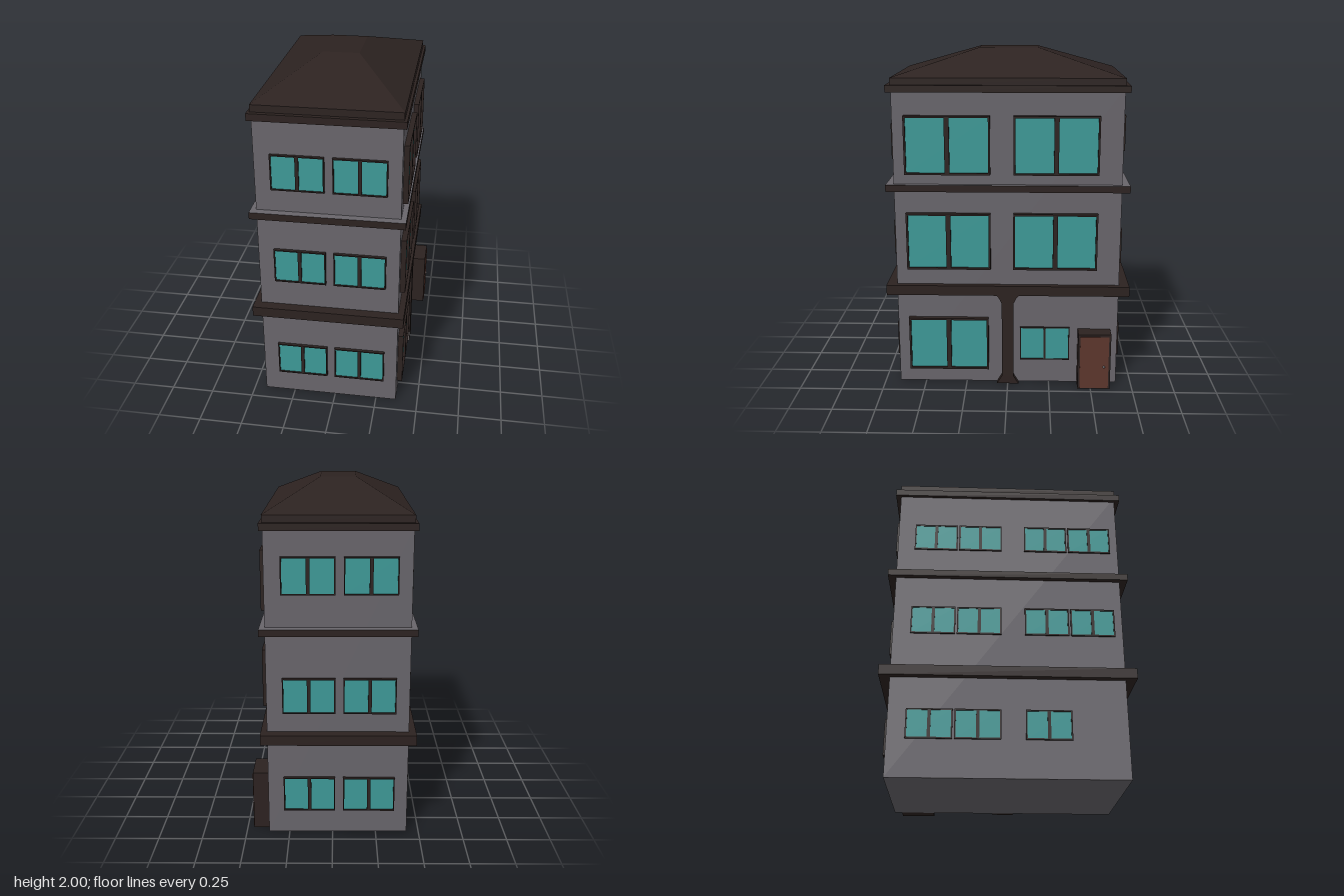
import * as THREE from 'three';

const mat = (name, color) => new THREE.MeshStandardMaterial({ name, color });

export function createModel() {
  const wall = mat('wallGrey', 0x68656b);
  const trim = mat('darkTrim', 0x2c2220);
  const glass = mat('tealGlass', 0x3d9997);
  const wood = mat('doorBrown', 0x5c362c);
  const metal = mat('knobGrey', 0x77767a);

  const model = new THREE.Group();
  model.name = 'building';

  const add = (parent, name, geometry, material) => {
    const mesh = new THREE.Mesh(geometry, material);
    mesh.name = name;
    parent.add(mesh);
    return mesh;
  };
  // Box given by its limits on each axis
  const block = (parent, name, x0, x1, y0, y1, z0, z1, material) => {
    const g = new THREE.BoxGeometry(x1 - x0, y1 - y0, z1 - z0);
    g.translate((x0 + x1) / 2, (y0 + y1) / 2, (z0 + z1) / 2);
    return add(parent, name, g, material);
  };
  const rect = (Type, x0, y0, x1, y1) => {
    const p = new Type();
    p.moveTo(x0, y0);
    p.lineTo(x1, y0);
    p.lineTo(x1, y1);
    p.lineTo(x0, y1);
    p.closePath();
    return p;
  };

  // Walls, floor bands, cornice
  block(model, 'walls', -0.43, 0.37, 0, 1.8, -0.66, 0.66, wall);
  block(model, 'lowerBand', -0.47, 0.405, 0.57, 0.63, -0.72, 0.72, trim);
  block(model, 'middleBand', -0.462, 0.4, 1.2, 1.24, -0.705, 0.705,
    [trim, trim, wall, trim, trim, trim]);
  block(model, 'cornice', -0.45, 0.388, 1.77, 1.81, -0.69, 0.69, trim);
  block(model, 'eaves', -0.435, 0.373, 1.81, 1.85, -0.663, 0.663, trim);

  // Hipped roof with a flat top: the top corners of a box pulled inwards
  const roof = new THREE.BoxGeometry(0.808, 0.15, 1.326).toNonIndexed();
  const pos = roof.attributes.position;
  for (let i = 0; i < pos.count; i++) {
    if (pos.getY(i) > 0) {
      pos.setX(i, Math.sign(pos.getX(i)) * 0.103);
      pos.setZ(i, Math.sign(pos.getZ(i)) * 0.173);
    }
  }
  roof.computeVertexNormals();
  roof.translate(-0.03, 1.925, 0);
  add(model, 'roof', roof, trim);

  // Each facade is a group whose local +z points out of the wall
  const facade = (name, x, z, turn) => {
    const g = new THREE.Group();
    g.name = name;
    g.position.set(x, 0, z);
    g.rotation.y = turn;
    model.add(g);
    return g;
  };

  // Two-pane window: frame with two openings and recessed glass
  const addWindow = (parent, x0, x1, y0, y1, depth, edge, mullion) => {
    const w = new THREE.Group();
    w.name = 'window';
    parent.add(w);
    const mid = (x0 + x1) / 2;
    const frame = rect(THREE.Shape, x0, y0, x1, y1);
    frame.holes.push(
      rect(THREE.Path, x0 + edge, y0 + edge, mid - mullion / 2, y1 - edge),
      rect(THREE.Path, mid + mullion / 2, y0 + edge, x1 - edge, y1 - edge));
    add(w, 'windowFrame',
      new THREE.ExtrudeGeometry(frame, { depth, bevelEnabled: false }), trim);
    const pane = new THREE.PlaneGeometry(x1 - x0 - edge, y1 - y0 - edge);
    pane.translate(mid, (y0 + y1) / 2, depth * 0.55);
    add(w, 'windowGlass', pane, glass);
  };

  // Narrow front and back facades: two windows per floor
  const front = facade('frontFacade', 0, 0.66, 0);
  const back = facade('backFacade', -0.06, -0.66, Math.PI);
  for (const [left, right] of [[-0.34, -0.045], [0, 0.295]]) {
    for (const y of [0.142, 0.792, 1.372]) {
      addWindow(front, left, right, y, y + 0.207, 0.018, 0.007, 0.02);
    }
    for (const y of [0.143, 0.743, 1.423]) {
      addWindow(back, left, right, y, y + 0.207, 0.018, 0.007, 0.02);
    }
  }

  // Long right-hand facade (local x is -z): small windows in pairs
  const plain = facade('plainSide', -0.43, 0, -Math.PI / 2);
  [0.215, 0.84, 1.395].forEach((y, floor) => {
    for (const x of [-0.56, -0.295, 0.095, 0.36]) {
      if (floor === 0 && x > 0.3) continue;
      addWindow(plain, x, x + 0.255, y, y + 0.17, 0.01, 0.008, 0.018);
    }
  });

  // Long entrance facade: large windows, one small window
  const entry = facade('entranceSide', 0.37, 0, Math.PI / 2);
  for (const y of [0.73, 1.3]) {
    addWindow(entry, -0.593, -0.1, y, y + 0.34, 0.03, 0.011, 0.028);
    addWindow(entry, 0.033, 0.525, y, y + 0.34, 0.03, 0.011, 0.028);
  }
  addWindow(entry, -0.593, -0.115, 0.09, 0.42, 0.03, 0.011, 0.028);
  addWindow(entry, 0.075, 0.372, 0.15, 0.36, 0.012, 0.006, 0.012);

  // Pilaster flared at the head and foot
  const half = [[0.065, 0], [0.035, 0.05], [0.035, 0.52], [0.05, 0.55], [0.065, 0.57]];
  const outline = [
    ...half.map(([x, y]) => new THREE.Vector2(x, y)),
    ...half.map(([x, y]) => new THREE.Vector2(-x, y)).reverse(),
  ];
  add(entry, 'pilaster', new THREE.ExtrudeGeometry(new THREE.Shape(outline),
    { depth: 0.034, bevelEnabled: false }), trim);

  // Projecting door surround, door leaf and knob
  block(entry, 'doorSurround', 0.422, 0.617, 0, 0.35, 0, 0.092, trim);
  block(entry, 'door', 0.434, 0.605, 0.006, 0.336, 0.088, 0.095, wood);
  const knob = add(entry, 'doorKnob', new THREE.SphereGeometry(0.007, 12, 8), metal);
  knob.position.set(0.577, 0.145, 0.097);

  return model;
}
